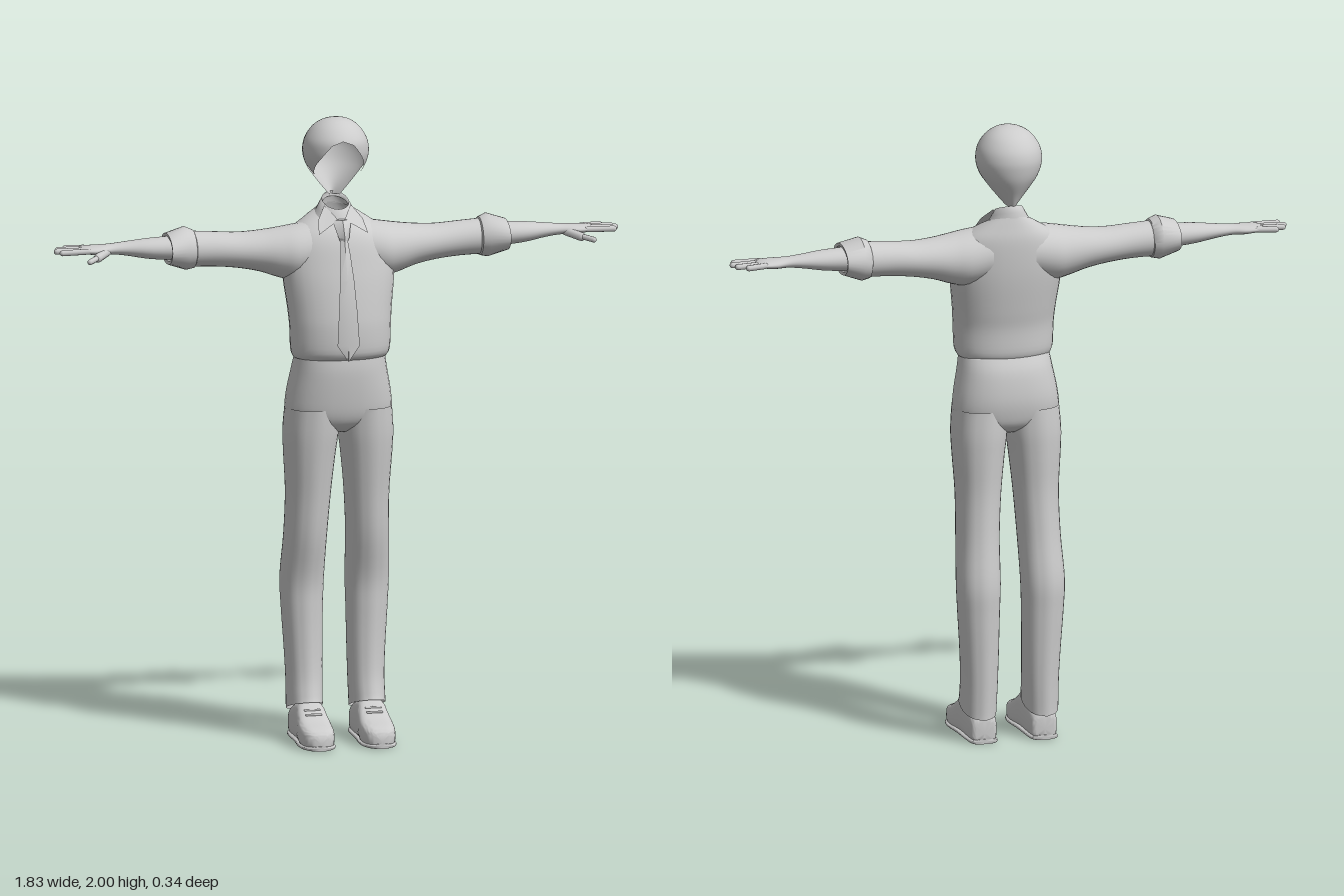
import * as THREE from 'three';
import { mergeVertices, toCreasedNormals } from 'three/addons/utils/BufferGeometryUtils.js';

const clay = new THREE.MeshStandardMaterial({ color: 0xcccccc, side: THREE.DoubleSide });
clay.name = 'light grey';

const N = 32;
const pow = (v, e) => Math.sign(v) * Math.abs(v) ** e;

// Catmull-Rom resampling of a table of rows
function smooth(rows, k = 4) {
  const out = [];
  for (let i = 0; i < rows.length - 1; i++) {
    const [a, b, c, d] = [rows[Math.max(i - 1, 0)], rows[i], rows[i + 1], rows[Math.min(i + 2, rows.length - 1)]];
    for (let s = 0; s < k; s++) {
      const t = s / k;
      out.push(b.map((v, j) => v + 0.5 * t * (c[j] - a[j] + t * (2 * a[j] - 5 * v + 4 * c[j] - d[j]
        + t * (3 * (v - c[j]) + d[j] - a[j])))));
    }
  }
  out.push(rows[rows.length - 1]);
  return out;
}

// Skin over closed rings of points
function loft(rings, caps = false) {
  const pos = [], idx = [], n = rings[0].length;
  rings.forEach(r => r.forEach(p => pos.push(...p)));
  for (let i = 0; i < rings.length - 1; i++) {
    for (let j = 0; j < n; j++) {
      const a = i * n + j, b = i * n + (j + 1) % n;
      idx.push(a, a + n, b, b, a + n, b + n);
    }
  }
  if (caps) {
    [0, rings.length - 1].forEach((i, end) => {
      const mid = [0, 1, 2].map(k => rings[i].reduce((s, p) => s + p[k] / n, 0));
      const m = pos.push(...mid) / 3 - 1;
      for (let j = 0; j < n; j++) {
        const a = i * n + j, b = i * n + (j + 1) % n;
        idx.push(...(end ? [m, b, a] : [m, a, b]));
      }
    });
  }
  const g = new THREE.BufferGeometry();
  g.setAttribute('position', new THREE.Float32BufferAttribute(pos, 3));
  g.setIndex(idx);
  g.computeVertexNormals();
  return g;
}

const ring = f => Array.from({ length: N }, (_, j) => f(Math.cos(j / N * 2 * Math.PI), Math.sin(j / N * 2 * Math.PI)));

// Upright section: height, x range, z range, tilt (positive lifts the front)
const levelRing = (y, x0, x1, zf, zb, tilt = 0, e = 1, pinch = 0) => ring((c, s) => {
  const dz = (zf - zb) / 2 * pow(s, e) + (Math.abs(s) > 0.999 ? pinch * s : 0);
  return [(x0 + x1) / 2 + (x1 - x0) / 2 * pow(c, e), y + tilt * dz, (zf + zb) / 2 + dz];
});

// Section across an outstretched arm
const armRing = ([x, yt, yb, zf, zb]) => ring((c, s) =>
  [x, (yt + yb) / 2 + (yt - yb) / 2 * c, (zf + zb) / 2 - (zf - zb) / 2 * s]);

function mirrored(geometry) {
  const g = geometry.index ? geometry.clone() : mergeVertices(geometry);
  g.scale(-1, 1, 1);
  const a = g.index.array;
  for (let i = 0; i < a.length; i += 3) [a[i], a[i + 1]] = [a[i + 1], a[i]];
  return g;
}

// Rounded rod between two points
function rod(p, q, r) {
  const a = new THREE.Vector3(...p), b = new THREE.Vector3(...q), d = b.clone().sub(a);
  const g = new THREE.CapsuleGeometry(r, d.length(), 4, 10);
  g.applyQuaternion(new THREE.Quaternion().setFromUnitVectors(new THREE.Vector3(0, 1, 0), d.normalize()));
  return g.translate(...a.add(b).multiplyScalar(0.5).toArray());
}

// Hollow hair shell: columns run from the crown to a varying hairline
function hairGeometry() {
  // y, half width, back z, front z
  const rows = smooth([[2, 0, -0.055, -0.05], [1.992, 0.04, -0.092, -0.012], [1.97, 0.073, -0.132, 0.025],
    [1.935, 0.097, -0.16, 0.053], [1.9, 0.105, -0.17, 0.056], [1.87, 0.102, -0.168, 0.05], [1.84, 0.09, -0.161, 0.035],
    [1.815, 0.073, -0.15, 0.015], [1.78, 0.046, -0.131, -0.01], [1.74, 0.012, -0.112, -0.04]], 6);
  const hairline = [[0, 1.74], [78, 1.745], [88, 1.83], [93, 1.848], [99, 1.842], [106, 1.817], [116, 1.835],
    [140, 1.88], [160, 1.925], [180, 1.938]];
  const lerpIn = (t, k, v) => {
    const i = Math.max(1, t.findIndex(r => (t[0][k] < t[1][k] ? r[k] >= v : r[k] <= v)));
    const f = (v - t[i - 1][k]) / (t[i][k] - t[i - 1][k]);
    return t[i].map((b, j) => t[i - 1][j] + (b - t[i - 1][j]) * f);
  };
  const cols = 120, steps = 36, rings = [];
  for (let v = steps; v >= 0; v--) {
    rings.push(Array.from({ length: cols }, (_, j) => {
      const a = j / cols * 2 * Math.PI, deg = 180 - Math.abs(180 - j * 360 / cols);
      const low = lerpIn(hairline, 0, deg)[1];
      const y = 2 - (2 - low) * (1 - Math.cos(v / steps * Math.PI / 2));
      const [, w, zb, zf] = lerpIn(rows, 0, y);
      const mid = -0.057, c = Math.cos(a);
      return [-w * Math.sin(a), y, mid - c * (c > 0 ? mid - zb : zf - mid)];
    }));
  }
  return loft(rings.map(r => r.reverse()));
}

export function createModel() {
  const model = new THREE.Group();
  const add = (name, g) => {
    const m = new THREE.Mesh(g, clay);
    m.name = name;
    model.add(m);
  };
  const pair = (name, g) => { add(name + 'Left', g); add(name + 'Right', mirrored(g)); };

  const hair = hairGeometry();
  // Orient the shell so its normals face outward
  const mid = Math.floor(hair.attributes.normal.count / 2 / 120) * 120;
  const p = hair.attributes.position, n = hair.attributes.normal;
  if (p.getX(mid + 30) * n.getX(mid + 30) < 0) {
    const a = hair.index.array;
    for (let i = 0; i < a.length; i += 3) [a[i], a[i + 1]] = [a[i + 1], a[i]];
    hair.computeVertexNormals();
  }
  add('hair', hair);

  // Shirt body: y, half width, front z, back z, tilt
  add('shirt', loft(smooth([[1.243, 0.15, 0.103, -0.1, 0], [1.268, 0.159, 0.12, -0.108, 0], [1.34, 0.162, 0.122, -0.11, 0],
    [1.4, 0.167, 0.115, -0.12, 0], [1.48, 0.177, 0.1, -0.132, 0], [1.54, 0.18, 0.085, -0.138, 0],
    [1.6, 0.172, 0.068, -0.14, 0], [1.64, 0.15, 0.052, -0.138, -0.05], [1.67, 0.108, 0.035, -0.13, -0.15],
    [1.692, 0.066, 0.018, -0.122, -0.3]]).map(([y, w, zf, zb, t]) => levelRing(y, -w, w, zf, zb, t, 0.92))));
  add('collarBand', loft([[1.685, 0.068, 0.02, -0.123], [1.705, 0.056, 0.01, -0.121], [1.73, 0.042, -0.003, -0.115],
    [1.715, 0.04, -0.005, -0.11]].map(([y, w, zf, zb]) => levelRing(y, -w, w, zf, zb, -0.35))));

  // Collar wings
  const wing = new THREE.BufferGeometry();
  wing.setAttribute('position', new THREE.Float32BufferAttribute(
    [0.043, 1.72, -0.03, 0.01, 1.682, 0.028, 0.08, 1.642, 0.056, 0.072, 1.682, 0.012], 3));
  wing.setIndex([0, 1, 2, 0, 2, 3]);
  wing.computeVertexNormals();
  pair('collarWing', wing);

  // Tie: y, half width, z
  const strip = (rows, t) => toCreasedNormals(loft(rows.map(([y, w, z]) =>
    [[w, y, z], [0, y, z + t], [-w, y, z], [0, y, z - t]]), true), 0.6);
  add('tieBlade', strip([[1.245, 0.002, 0.126], [1.295, 0.036, 0.128], [1.4, 0.03, 0.122], [1.5, 0.023, 0.107],
    [1.58, 0.016, 0.083], [1.635, 0.01, 0.06]], 0.006));
  add('tieKnot', strip([[1.622, 0.014, 0.062], [1.63, 0.017, 0.062], [1.672, 0.028, 0.036], [1.682, 0.022, 0.026]], 0.016));

  // Sleeves, cuffs and bare arms: x, top y, bottom y, front z, back z
  pair('sleeve', loft(smooth([[0.07, 1.672, 1.5, 0.05, -0.135], [0.14, 1.662, 1.485, 0.056, -0.138],
    [0.19, 1.654, 1.494, 0.045, -0.132], [0.25, 1.646, 1.514, 0.028, -0.126], [0.32, 1.642, 1.528, 0.015, -0.12],
    [0.4, 1.647, 1.536, 0.008, -0.115], [0.48, 1.652, 1.538, 0.008, -0.118]]).map(armRing)));
  pair('cuff', toCreasedNormals(loft([[0.46, 1.645, 1.545, 0.005, -0.11], [0.465, 1.656, 1.534, 0.016, -0.122],
    [0.49, 1.667, 1.529, 0.025, -0.135], [0.55, 1.648, 1.55, 0.036, -0.132], [0.548, 1.638, 1.56, 0.022, -0.12],
    [0.5, 1.63, 1.565, 0, -0.1]].map(armRing)), 0.7));
  pair('forearm', loft(smooth([[0.48, 1.64, 1.558, -0.005, -0.103], [0.6, 1.635, 1.568, -0.01, -0.098],
    [0.68, 1.627, 1.582, -0.025, -0.09], [0.73, 1.622, 1.588, -0.028, -0.086], [0.77, 1.62, 1.588, -0.015, -0.096],
    [0.81, 1.618, 1.593, -0.014, -0.1], [0.832, 1.613, 1.598, -0.02, -0.096]]).map(armRing), true));
  [[-0.023, 0.895, -0.02], [-0.045, 0.907, -0.05], [-0.068, 0.897, -0.076], [-0.09, 0.868, -0.1]].forEach(([z, x, tz], i) =>
    pair('finger' + (i + 1), rod([0.81, 1.606, z], [x, 1.605, tz], 0.0095)));
  pair('thumbBase', rod([0.745, 1.6, -0.04], [0.785, 1.588, 0], 0.014));
  pair('thumb', rod([0.78, 1.59, -0.004], [0.818, 1.583, 0.034], 0.009));

  // Trousers: seat, then legs
  add('trouserSeat', loft(smooth([[1, 0.07, 0.035, -0.08], [1.025, 0.13, 0.07, -0.115], [1.06, 0.168, 0.088, -0.129],
    [1.12, 0.167, 0.098, -0.135], [1.2, 0.152, 0.104, -0.124], [1.25, 0.144, 0.1, -0.1]])
    .map(([y, w, zf, zb]) => levelRing(y, -w, w, zf, zb, 0, 0.85)), true));
  // y, inner x, outer x, front z, back z, tilt
  pair('trouserLeg', loft(smooth([[0.105, 0.047, 0.157, 0.03, -0.138, 0.3], [0.13, 0.046, 0.157, 0.022, -0.138, 0.25],
    [0.2, 0.044, 0.157, 0.008, -0.141, 0.1], [0.3, 0.042, 0.162, 0, -0.146, 0], [0.42, 0.04, 0.17, -0.002, -0.152, 0],
    [0.52, 0.037, 0.174, 0.003, -0.155, 0], [0.66, 0.034, 0.167, 0.036, -0.135, 0], [0.8, 0.025, 0.165, 0.055, -0.124, 0],
    [0.92, 0.013, 0.172, 0.072, -0.127, 0], [1, 0.003, 0.175, 0.082, -0.129, 0], [1.08, 0, 0.169, 0.088, -0.125, 0]])
    .map(([y, x0, x1, zf, zb, t]) => levelRing(y, x0, x1, zf, zb, t, 0.85, 0.005))));

  // Shoes: z, half width, height
  const shoe = smooth([[-0.13, 0.028, 0.07], [-0.12, 0.041, 0.09], [-0.06, 0.046, 0.115], [0.01, 0.048, 0.13],
    [0.045, 0.051, 0.11], [0.09, 0.055, 0.084], [0.135, 0.051, 0.07], [0.162, 0.038, 0.058], [0.172, 0.02, 0.045]], 3);
  const shoeRing = (z, w, h) => ring((c, s) => [0.099 + w * pow(c, 0.6), h / 2 * (1 - pow(s, 0.55)), z]);
  pair('shoe', toCreasedNormals(loft(shoe.map(r => shoeRing(...r)), true), 0.9));
  pair('sole', toCreasedNormals(loft(shoe.map(([z, w]) => shoeRing(z * 1.015, w + 0.003, 0.016)), true), 0.9));
  [[0.045, 0.113], [0.066, 0.102]].forEach(([z, y], i) =>
    pair('lace' + (i + 1), rod([0.076, y - 0.004, z], [0.122, y - 0.004, z], 0.004)));
  return model;
}
